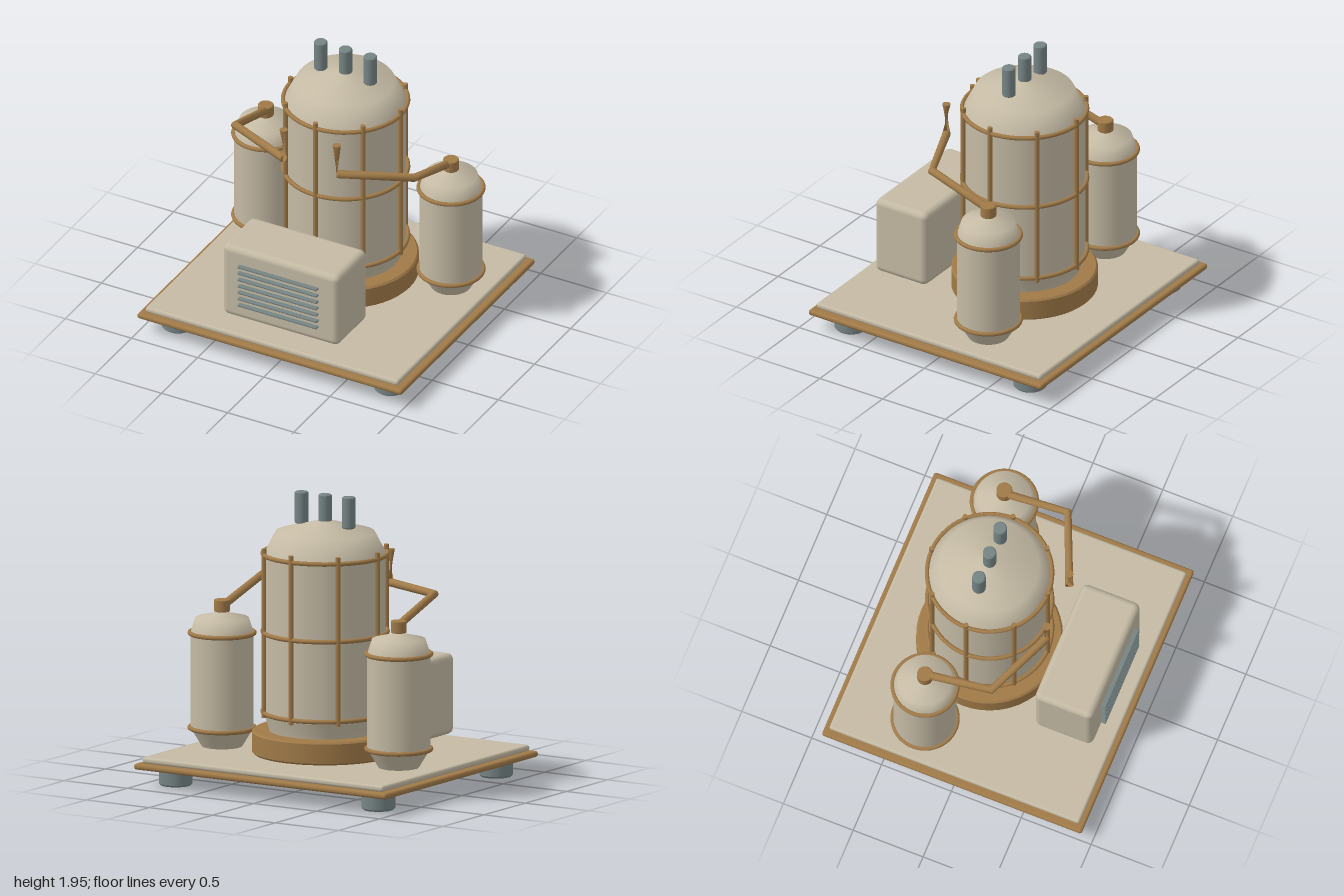
import * as THREE from 'three';
import { RoundedBoxGeometry } from 'three/addons/geometries/RoundedBoxGeometry.js';

const cream = new THREE.MeshStandardMaterial({ name: 'cream enamel', color: 0xc4baa4 });
const brass = new THREE.MeshStandardMaterial({ name: 'brass', color: 0xa07a48 });
const steel = new THREE.MeshStandardMaterial({ name: 'grey steel', color: 0x768484 });

function add(parent, name, geometry, material, x = 0, y = 0, z = 0) {
  const mesh = new THREE.Mesh(geometry, material);
  mesh.name = name;
  mesh.position.set(x, y, z);
  parent.add(mesh);
  return mesh;
}

function lathe(points) {
  return new THREE.LatheGeometry(points.map(([r, y]) => new THREE.Vector2(r, y)), 48);
}

// Upright cylinder with a small bevel on both rims
function post(radius, y0, y1, bevel) {
  const r = radius - bevel;
  return lathe([[0, y0], [r, y0], [r, y0], [radius, y0 + bevel], [radius, y0 + bevel],
    [radius, y1 - bevel], [radius, y1 - bevel], [r, y1], [r, y1], [0, y1]]);
}

function hoop(parent, radius, y) {
  add(parent, 'hoop', new THREE.TorusGeometry(radius, 0.015, 10, 56), brass, 0, y, 0).rotation.x = Math.PI / 2;
}

// Sweeps one ring per path point, square to the given direction at that point
function sweep(points, directions, radius, sides = 14) {
  const positions = [], index = [];
  points.forEach((p, i) => {
    const d = directions[i].clone().normalize();
    const ref = Math.abs(d.y) > 0.9 ? directions[i - 1].clone().cross(d).normalize()
      : new THREE.Vector3(0, 1, 0).cross(d).normalize().negate();
    if (Math.abs(d.y) > 0.9) ref.negate();
    const up = ref.clone().cross(d);
    if (Math.abs(d.y) <= 0.9 && up.y < 0) up.negate();
    const across = d.clone().cross(up).normalize();
    for (let k = 0; k < sides; k++) {
      const a = (k / sides) * Math.PI * 2;
      const v = p.clone().addScaledVector(up, radius * Math.cos(a)).addScaledVector(across, radius * Math.sin(a));
      positions.push(v.x, v.y, v.z);
      if (i > 0) {
        const n = (k + 1) % sides, b = (i - 1) * sides, t = i * sides;
        index.push(b + k, b + n, t + k, b + n, t + n, t + k);
      }
    }
  });
  const g = new THREE.BufferGeometry();
  g.setAttribute('position', new THREE.Float32BufferAttribute(positions, 3));
  g.setIndex(index);
  g.computeVertexNormals();
  return g;
}

function createBase() {
  const base = new THREE.Group();
  base.name = 'base';
  add(base, 'baseTrim', new RoundedBoxGeometry(2, 0.04, 1.86, 3, 0.018), brass, 0, 0.135, 0);
  add(base, 'deck', new RoundedBoxGeometry(1.91, 0.042, 1.79, 3, 0.018), cream, 0, 0.177, 0);
  for (const x of [-0.803, 0.803])
    for (const z of [-0.713, 0.713])
      add(base, 'foot', post(0.112, 0, 0.12, 0.012), steel, x, 0, z);
  return base;
}

function createVessel() {
  const vessel = new THREE.Group();
  vessel.name = 'mainVessel';
  vessel.position.z = -0.132;
  add(vessel, 'plinth', post(0.487, 0.21, 0.365, 0.012), brass);
  add(vessel, 'vesselBody', lathe([[0.37, 0.34], [0.375, 0.38], [0.402, 0.47], [0.402, 0.47], [0.402, 1.56]]), cream);
  add(vessel, 'dome', lathe([[0.402, 1.56], [0.33, 1.7], [0, 1.787]]), cream);
  // Cage of hoops and upright rods
  for (const y of [0.49, 1.03, 1.555]) hoop(vessel, 0.415, y);
  for (let i = 0; i < 8; i++) {
    const a = (i / 8) * Math.PI * 2;
    add(vessel, 'cageRod', new THREE.CylinderGeometry(0.017, 0.017, 1.14, 10), brass,
      0.415 * Math.sin(a), 1.03, 0.415 * Math.cos(a));
  }
  for (const x of [-0.187, 0, 0.187]) add(vessel, 'stack', post(0.045, 1.74, 1.953, 0.007), steel, x);
  return vessel;
}

function createSideTank(side) {
  const tank = new THREE.Group();
  tank.name = side > 0 ? 'leftTank' : 'rightTank';
  tank.position.set(0.7 * side, 0, -0.31);
  add(tank, 'tankBody', lathe([[0, 0.21], [0.135, 0.21], [0.135, 0.21], [0.21, 0.335], [0.21, 0.335],
    [0.21, 0.975], [0.21, 0.975], [0.178, 1.075], [0, 1.12]]), cream);
  for (const y of [0.335, 0.975]) hoop(tank, 0.215, y);
  add(tank, 'cap', post(0.053, 1.118, 1.198, 0.004), brass);
  return tank;
}

function createPipe(side) {
  const pipe = new THREE.Group();
  pipe.name = side > 0 ? 'leftPipe' : 'rightPipe';
  const path = [[0.69, 1.16, -0.31], [0.677, 1.303, 0.155], [0.2, 1.3, 0.357], [0.2, 1.527, 0.357]]
    .map(([x, y, z]) => new THREE.Vector3(x * side, y, z));
  const run = path.slice(1).map((p, i) => p.clone().sub(path[i]).normalize());
  const bend = run[0].clone().add(run[1]);
  const tube = add(pipe, 'tube', sweep(path, [run[0], bend, run[1], run[2]], 0.028), brass);
  tube.material = pipeBrass;
  const end = add(pipe, 'pipeEnd', new THREE.CircleGeometry(0.028, 14), brass, path[3].x, path[3].y, path[3].z);
  end.rotation.x = -Math.PI / 2;
  return pipe;
}

const pipeBrass = brass.clone();
pipeBrass.name = 'pipe brass';
pipeBrass.side = THREE.DoubleSide;

function createControlBox() {
  const box = new THREE.Group();
  box.name = 'controlBox';
  add(box, 'housing', new RoundedBoxGeometry(0.88, 0.548, 0.415, 2, 0.045), cream, 0, 0.512, 0.57);
  for (let i = 0; i < 7; i++)
    add(box, 'louvre', new RoundedBoxGeometry(0.6, 0.016, 0.032, 2, 0.006), steel, 0, 0.37 + i * 0.05, 0.804);
  return box;
}

export function createModel() {
  const model = new THREE.Group();
  model.name = 'boilerMachine';
  model.add(createBase(), createVessel(), createControlBox());
  for (const side of [-1, 1]) model.add(createSideTank(side), createPipe(side));
  return model;
}
